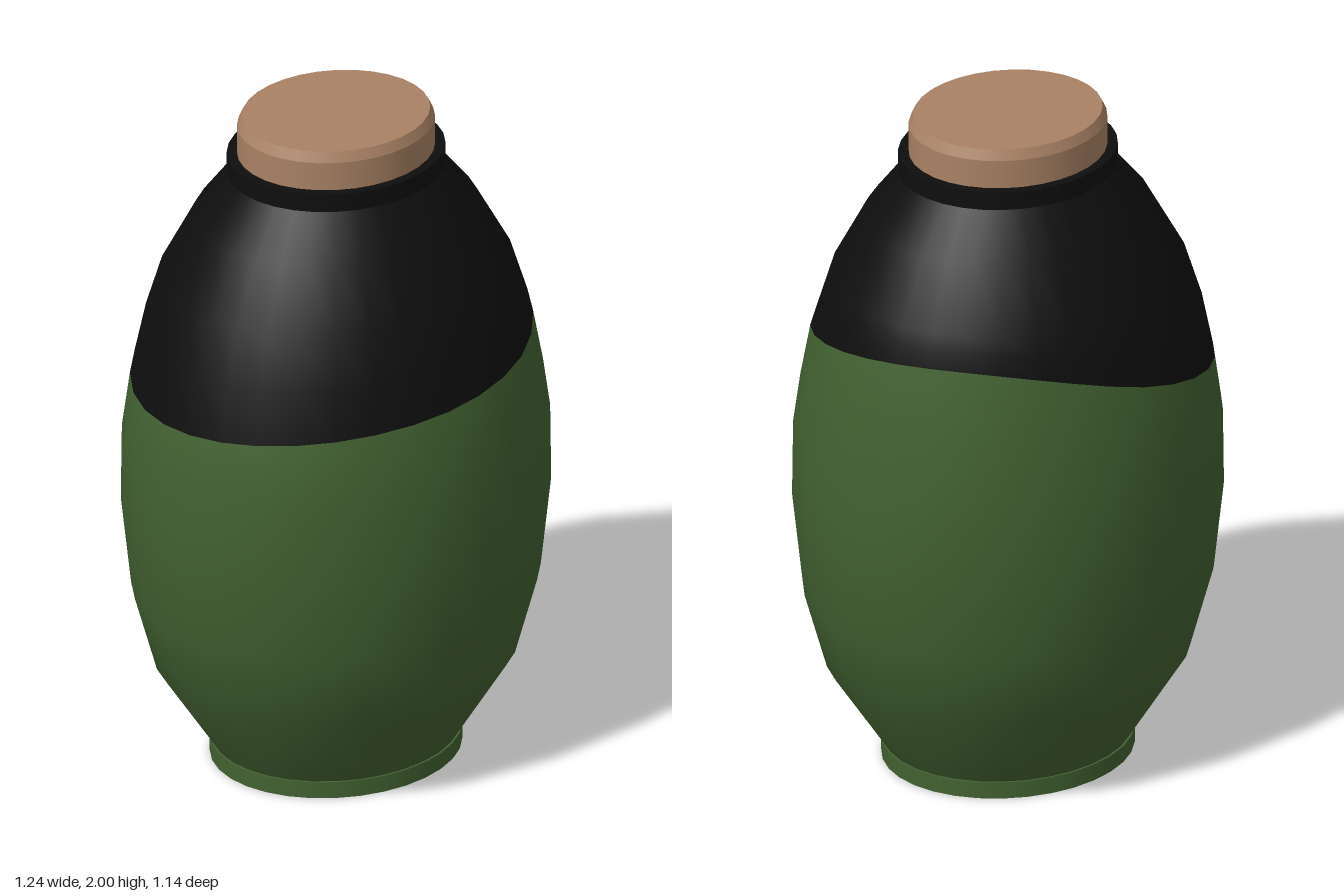
import * as THREE from 'three';
import { mergeGeometries } from 'three/addons/utils/BufferGeometryUtils.js';

const SEGMENTS = 32;
// Half-width of the body at each height
const BODY = [[0.36, 0.05], [0.53, 0.31], [0.595, 0.54], [0.625, 0.81], [0.622, 1.04],
  [0.585, 1.3], [0.515, 1.52], [0.415, 1.7], [0.305, 1.835]];

function bodyRadius(y) {
  for (let i = 1; i < BODY.length; i++) {
    const [r0, y0] = BODY[i - 1], [r1, y1] = BODY[i];
    if (y <= y1) return r0 + (r1 - r0) * (y - y0) / (y1 - y0);
  }
  return BODY[BODY.length - 1][0];
}

// Height of the slanting, slightly wavy edge of the dark glaze
function glazeEdge(a) {
  return 1.296 + 0.083 * Math.cos(a) - 0.068 * Math.sin(a)
    - 0.019 * Math.cos(2 * a) - 0.018 * Math.sin(2 * a);
}

// Turned surface with the jar's oval, slightly rotated cross-section
function turned(points) {
  const g = new THREE.LatheGeometry(points.map(([r, y]) => new THREE.Vector2(r, y)), SEGMENTS);
  return g.scale(1.01, 1, 0.901).rotateY(0.33);
}

// Turned part with a sharp edge at every profile point
function sharpTurned(points) {
  return mergeGeometries(points.slice(1).map((p, i) => turned([points[i], p])));
}

// Body rows follow the glaze edge, so each side of it is one colour
function bodyHalves() {
  const heights = [0.05, 0.31, 0.54, 0.81, 1.04, 1.17, 1.3, 1.41, 1.52, 1.7, 1.835];
  const edgeRow = 6, rows = heights.length;
  const g = turned(heights.map((y) => [bodyRadius(y), y]));
  const pos = g.attributes.position;
  for (let i = 0; i < pos.count; i++) {
    const row = i % rows;
    if (Math.abs(row - edgeRow) > 1) continue;
    const x = pos.getX(i), z = pos.getZ(i), oldY = pos.getY(i);
    const edge = glazeEdge(Math.atan2(z, x));
    const y = row === edgeRow ? edge : (edge + (row < edgeRow ? 1.04 : 1.52)) / 2;
    const k = bodyRadius(y) / bodyRadius(oldY);
    pos.setXYZ(i, x * k, y, z * k);
  }
  // Share the triangles out above and below the edge
  const lower = [], upper = [];
  for (let t = 0; t < g.index.count; t += 6) {
    const row = (t / 6) % (rows - 1);
    const list = row < edgeRow ? lower : upper;
    for (let k = 0; k < 6; k++) list.push(g.index.getX(t + k));
  }
  return [lower, upper].map((index) => {
    const half = g.clone();
    half.setIndex(index);
    return half;
  });
}

export function createModel() {
  const green = new THREE.MeshStandardMaterial({ name: 'greenGlaze', color: 0x426131 });
  const black = new THREE.MeshStandardMaterial({ name: 'blackGlaze', color: 0x0e0e0e });
  const tan = new THREE.MeshStandardMaterial({ name: 'corkTan', color: 0xa98264 });

  const model = new THREE.Group();
  model.name = 'jar';
  const add = (name, geometry, material) => {
    const mesh = new THREE.Mesh(geometry, material);
    mesh.name = name;
    model.add(mesh);
  };

  const [lower, upper] = bodyHalves();
  add('lowerBody', lower, green);
  add('upperBody', upper, black);

  // Flat underside and short upright foot
  add('foot', sharpTurned([[0, 0], [0.367, 0], [0.367, 0.05], [0.355, 0.05]]), green);

  // Collar around the neck
  add('collar', sharpTurned([[0.29, 1.83], [0.318, 1.83], [0.318, 1.885], [0.27, 1.885]]), black);

  // Stopper with a bevelled rim
  add('stopper', sharpTurned([[0.288, 1.87], [0.288, 1.97], [0.274, 2], [0, 2]]), tan);

  return model;
}
